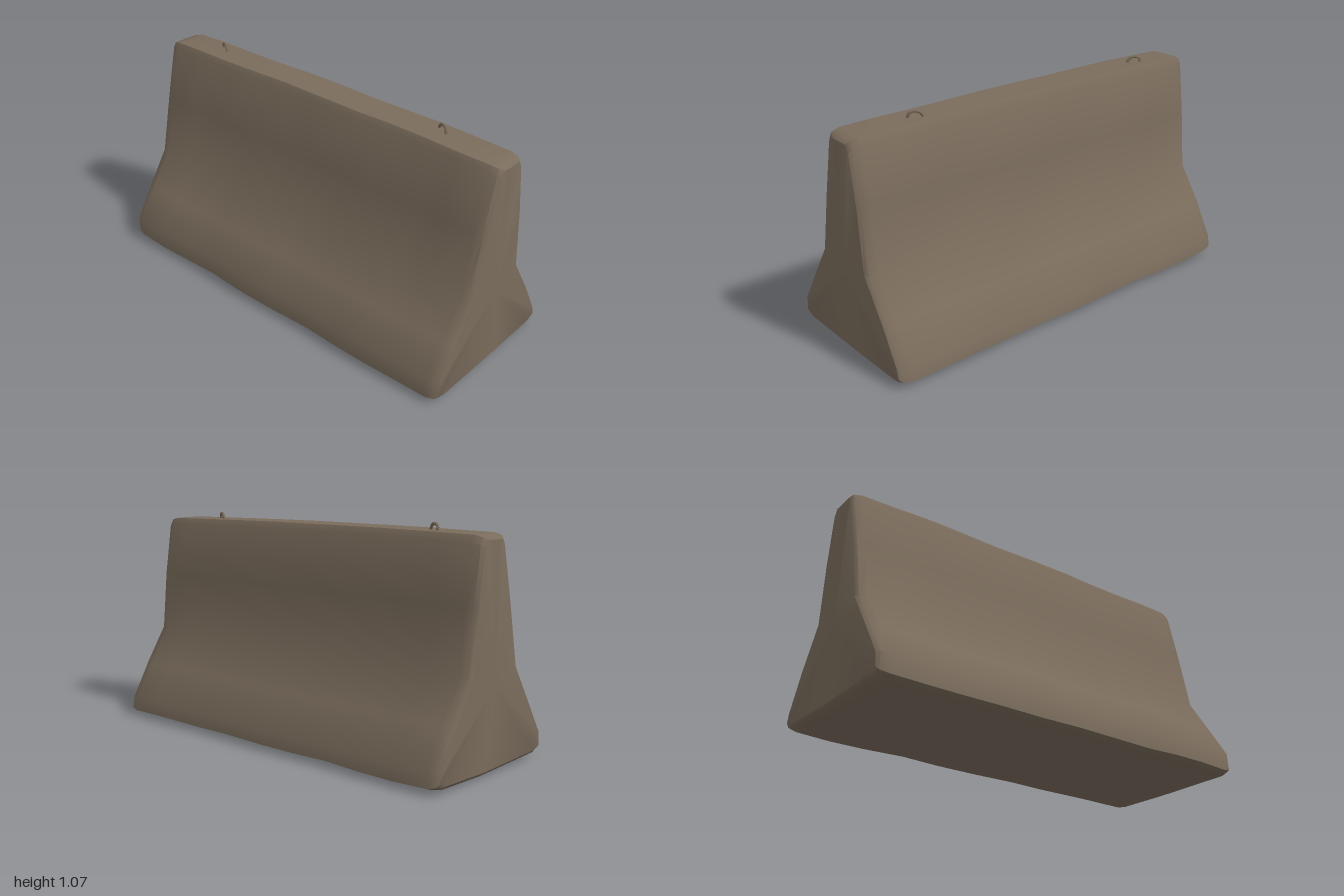
import * as THREE from 'three';
import { toCreasedNormals } from 'three/addons/utils/BufferGeometryUtils.js';

// Cross-section as [z, y], from the front foot over the top to the back foot
const PROFILE = [
  [0.36, 0.018], [0.405, 0.035], [0.4, 0.125], [0.3, 0.28], [0.185, 0.455], [0.125, 0.74],
  [0.068, 1.01], [0.054, 1.034], [-0.03, 1.034], [-0.105, 1.032], [-0.124, 1.0],
  [-0.158, 0.74], [-0.182, 0.45], [-0.3, 0.27], [-0.395, 0.1], [-0.405, 0.035],
  [-0.36, 0.018], [-0.08, 0.012],
];

// Stations along the length: [x, inset]; the ends are chamfered
const STATIONS = [
  [-0.998, 0.028], [-0.985, 0.01], [-0.945, 0], [-0.78, 0], [-0.6, 0], [-0.4, 0], [-0.2, 0],
  [0, 0], [0.25, 0], [0.42, 0], [0.6, 0], [0.78, 0], [0.94, 0], [0.98, 0.01], [0.994, 0.028],
];

function sectionPoint(x, inset, [z, y]) {
  const bow = 1 - x * x;
  const wear = 0.005 * Math.sin(x * 9 + y * 6 + z * 5) * (1 - inset / 0.03);
  let py = y;
  if (y > 0.98) py += 0.01 * bow - inset * 0.8; // slightly crowned top
  if (y < 0.05) py += inset * 0.8 + (Math.abs(z) < 0.2 ? -0.006 * bow : 0.003 * Math.sin(x * 11));
  return [x, py, z - Math.sign(z) * inset * 0.8 + wear];
}

function barrierGeometry() {
  const n = PROFILE.length, last = STATIONS.length - 1;
  const positions = [], index = [];
  for (const [x, inset] of STATIONS)
    for (const p of PROFILE) positions.push(...sectionPoint(x, inset, p));
  // Centres of the two end caps
  const leftCap = positions.length / 3;
  positions.push(-1, 0.4, 0, 0.996, 0.4, 0);
  for (let i = 0; i < n; i++) {
    const j = (i + 1) % n;
    for (let s = 0; s < last; s++) {
      const a = s * n + i, b = a + n, c = (s + 1) * n + j, d = s * n + j;
      index.push(a, b, c, a, c, d);
    }
    index.push(leftCap, i, j, leftCap + 1, last * n + j, last * n + i);
  }
  const geometry = new THREE.BufferGeometry();
  geometry.setAttribute('position', new THREE.Float32BufferAttribute(positions, 3));
  geometry.setIndex(index);
  return toCreasedNormals(geometry, 0.7);
}

// Small bent steel lifting loop, set diagonally on the top
function liftingLoop(x, z, lean) {
  const points = [
    [-0.03, 1.025, -0.018], [-0.027 + lean, 1.055, -0.014], [lean, 1.067, 0],
    [0.02 + lean, 1.058, 0.01], [0.03, 1.025, 0.018],
  ].map(([px, py, pz]) => new THREE.Vector3(x + px, py, z + pz));
  return new THREE.TubeGeometry(new THREE.CatmullRomCurve3(points), 14, 0.007, 6);
}

export function createModel() {
  const group = new THREE.Group();
  const concrete = new THREE.MeshStandardMaterial({ color: 0x7a6c5c });
  concrete.name = 'weathered concrete';

  const add = (name, geometry) => {
    const mesh = new THREE.Mesh(geometry, concrete);
    mesh.name = name;
    group.add(mesh);
  };
  add('barrierBody', barrierGeometry());
  add('rightLiftingLoop', liftingLoop(-0.7, -0.045, -0.006));
  add('leftLiftingLoop', liftingLoop(0.63, -0.05, 0.006));
  return group;
}
